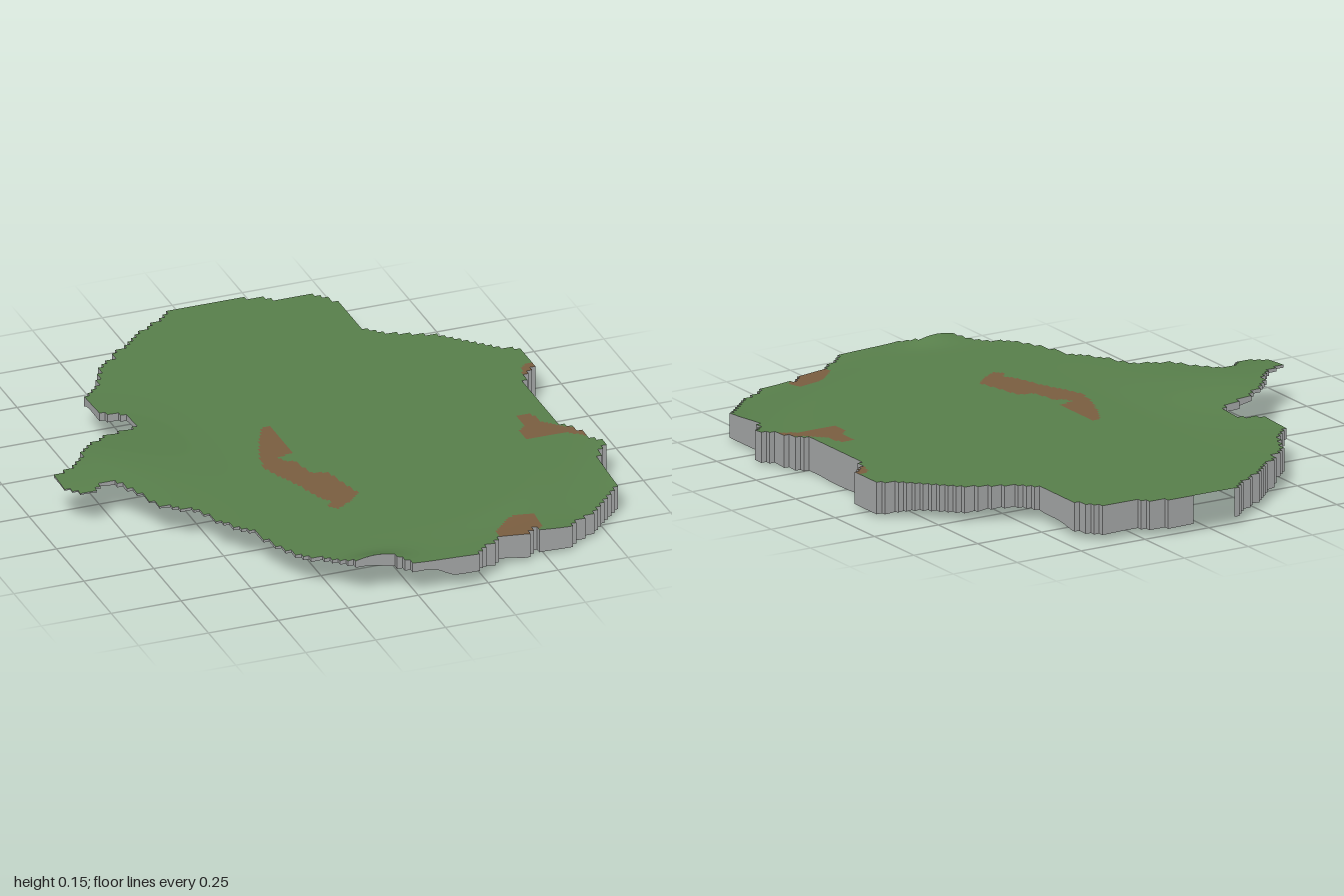
import * as THREE from 'three';
import { mergeVertices } from 'three/addons/utils/BufferGeometryUtils.js';

const CELL = 0.02, N = 100;

// Coastline in plan, as x, z pairs
const coast = pairs([
  -0.10, -1.01, 0.07, -1.01, 0.20, -0.98, 0.25, -0.95, 0.37, -0.94, 0.40, -0.91, 0.43, -0.86, 0.43, -0.69,
  0.46, -0.62, 0.54, -0.57, 0.63, -0.53, 0.71, -0.47, 0.79, -0.38, 0.87, -0.32, 0.89, -0.30, 0.89, -0.20,
  0.83, -0.13, 0.81, -0.09, 0.81, 0.12, 0.79, 0.22, 0.84, 0.26, 0.86, 0.34, 0.92, 0.40, 0.86, 0.44,
  0.845, 0.49, 0.845, 0.64, 0.83, 0.69, 0.73, 0.79, 0.61, 0.86, 0.58, 0.89, 0.50, 0.89, 0.48, 0.86,
  0.44, 0.90, 0.33, 0.91, 0.27, 0.95, 0.19, 1.01, 0.0, 1.01, -0.06, 0.94, -0.20, 0.93, -0.27, 0.87,
  -0.35, 0.79, -0.40, 0.69, -0.43, 0.58, -0.51, 0.48, -0.54, 0.38, -0.66, 0.31, -0.70, 0.20, -0.74, 0.12,
  -0.79, 0.12, -0.82, 0.16, -0.87, 0.16, -0.92, 0.12, -0.92, 0.03, -0.82, -0.02, -0.77, -0.10, -0.71, -0.15,
  -0.64, -0.20, -0.53, -0.23, -0.51, -0.32, -0.595, -0.39, -0.60, -0.50, -0.53, -0.58, -0.47, -0.69,
  -0.37, -0.79, -0.24, -0.90, -0.16, -0.95,
]);

// Bare earth patches in plan
const patches = [
  [-0.13, -0.10, -0.10, -0.10, -0.10, 0.11, -0.16, 0.12, -0.145, 0.155, -0.11, 0.17, -0.10, 0.26, -0.04, 0.28,
    -0.02, 0.39, 0, 0.45, -0.04, 0.50, -0.11, 0.54, -0.13, 0.51, -0.11, 0.48, -0.14, 0.43, -0.165, 0.34,
    -0.20, 0.26, -0.23, 0.17, -0.21, 0.08, -0.17, -0.02],
  [0.69, 0.13, 0.74, 0.13, 0.755, 0.20, 0.79, 0.24, 0.87, 0.29, 0.87, 0.35, 0.80, 0.30, 0.66, 0.30, 0.655, 0.24, 0.69, 0.20],
  [0.84, -0.20, 0.90, -0.22, 0.90, -0.17, 0.83, -0.12, 0.82, -0.15],
  [0.42, 0.78, 0.50, 0.78, 0.50, 0.86, 0.44, 0.92, 0.33, 0.92, 0.33, 0.86, 0.38, 0.82],
].map(pairs);

// Underside heights at scattered points: x, z, y
const under = [
  [-0.9, 0.08, 0.143], [-0.7, -0.1, 0.138], [-0.7, 0.2, 0.128], [-0.52, -0.25, 0.112], [-0.6, -0.45, 0.1],
  [-0.53, -0.57, 0.065], [-0.47, -0.69, 0.04], [-0.3, -0.85, 0.02], [-0.1, -1, 0.022], [0.2, -0.97, 0.022],
  [0.4, -0.9, 0.02], [0.43, -0.7, 0.035], [0.5, -0.6, 0.045], [0.71, -0.47, 0.03], [0.88, -0.25, 0.01],
  [0.82, 0.06, 0], [0.8, 0.22, 0.004], [0.9, 0.4, 0.01], [0.84, 0.65, 0.01], [0.6, 0.87, 0.01],
  [0.45, 0.9, 0.012], [0.33, 0.91, 0.025], [0.19, 1, 0.05], [0, 1, 0.09], [-0.2, 0.93, 0.112],
  [-0.4, 0.69, 0.113], [-0.54, 0.4, 0.116], [0, 0, 0.06], [-0.2, -0.4, 0.04], [0.4, 0, 0.02],
  [-0.3, 0.2, 0.1], [0.1, 0.5, 0.075], [0.4, 0.5, 0.02], [0.1, -0.5, 0.03],
];

function pairs(a) {
  const out = [];
  for (let i = 0; i < a.length; i += 2) out.push([a[i], a[i + 1]]);
  return out;
}

function inside(poly, x, z) {
  let hit = false;
  for (let i = 0, j = poly.length - 1; i < poly.length; j = i++) {
    const [xi, zi] = poly[i], [xj, zj] = poly[j];
    if ((zi > z) !== (zj > z) && x < ((xj - xi) * (z - zi)) / (zj - zi) + xi) hit = !hit;
  }
  return hit;
}

const bell = (t) => Math.exp(-t * t);

// Level ground, a rise on the headland, a lip at the front and a slope at the front corner
function topHeight(x, z) {
  const rise = 0.032 * THREE.MathUtils.smoothstep(-x, 0.28, 0.75) * bell((z + 0.05) / 0.3);
  const lip = 0.026 * bell((x + 0.13) / 0.1) * bell((z - 0.95) / 0.06);
  const r = Math.hypot(x - 0.1, z - 0.1);
  const angle = Math.atan2(z - 0.1, x - 0.1);
  const slope = 0.035 * THREE.MathUtils.smoothstep(r, 0.66, 0.92) * bell((angle - 0.91) / 0.45);
  return 0.122 + rise + lip - slope;
}

// Inverse-distance blend of the underside heights
function bottomHeight(x, z) {
  let sum = 0, total = 0;
  for (const [px, pz, py] of under) {
    const w = 1 / (Math.hypot(x - px, z - pz) ** 3 + 1e-5);
    sum += w * py;
    total += w;
  }
  return Math.min(sum / total, topHeight(x, z) - 0.005);
}

function addQuad(list, a, b, c, d) {
  list.push(...a, ...b, ...c, ...a, ...c, ...d);
}

function toGeometry(positions, smooth) {
  let g = new THREE.BufferGeometry();
  g.setAttribute('position', new THREE.Float32BufferAttribute(positions, 3));
  if (smooth) g = mergeVertices(g, 1e-5);
  g.computeVertexNormals();
  return g;
}

export function createModel() {
  const material = (name, color) => {
    const m = new THREE.MeshStandardMaterial({ color });
    m.name = name;
    return m;
  };
  const grass = material('grass green', 0x587f4b);
  const earth = material('earth brown', 0x7a5e40);
  const soil = material('soil brown', 0x675036);
  const stone = material('stone grey', 0xa5a7a7);

  const lists = { grass: [], earth: [], soil: [], cliff: [] };
  const at = (i) => -1 + i * CELL;
  const land = (i, j) => inside(coast, at(i + 0.5), at(j + 0.5));
  const top = ([x, z]) => [x, topHeight(x, z), z];
  const bottom = ([x, z]) => [x, bottomHeight(x, z), z];

  for (let i = 0; i < N; i++) {
    for (let j = 0; j < N; j++) {
      if (!land(i, j)) continue;
      const corners = [[at(i), at(j)], [at(i), at(j + 1)], [at(i + 1), at(j + 1)], [at(i + 1), at(j)]];

      // Ground, in half cells so the patches have finer edges
      for (const u of [0, 0.5]) {
        for (const v of [0, 0.5]) {
          const x0 = at(i + u), z0 = at(j + v), x1 = at(i + u + 0.5), z1 = at(j + v + 0.5);
          const bare = patches.some((p) => inside(p, (x0 + x1) / 2, (z0 + z1) / 2));
          addQuad(bare ? lists.earth : lists.grass, top([x0, z0]), top([x0, z1]), top([x1, z1]), top([x1, z0]));
        }
      }

      // Underside
      addQuad(lists.soil, ...corners.map(bottom).reverse());

      // Stepped cliff wherever the neighbouring cell is empty
      [[-1, 0], [0, 1], [1, 0], [0, -1]].forEach(([di, dj], k) => {
        if (land(i + di, j + dj)) return;
        const p = corners[k], q = corners[(k + 1) % 4];
        addQuad(lists.cliff, bottom(p), bottom(q), top(q), top(p));
      });
    }
  }

  const group = new THREE.Group();
  group.name = 'island';
  const add = (name, positions, mat, smooth) => {
    const mesh = new THREE.Mesh(toGeometry(positions, smooth), mat);
    mesh.name = name;
    group.add(mesh);
  };
  add('grassGround', lists.grass, grass, true);
  add('earthPatches', lists.earth, earth, true);
  add('underside', lists.soil, soil, true);
  add('cliffEdge', lists.cliff, stone, false);
  return group;
}
